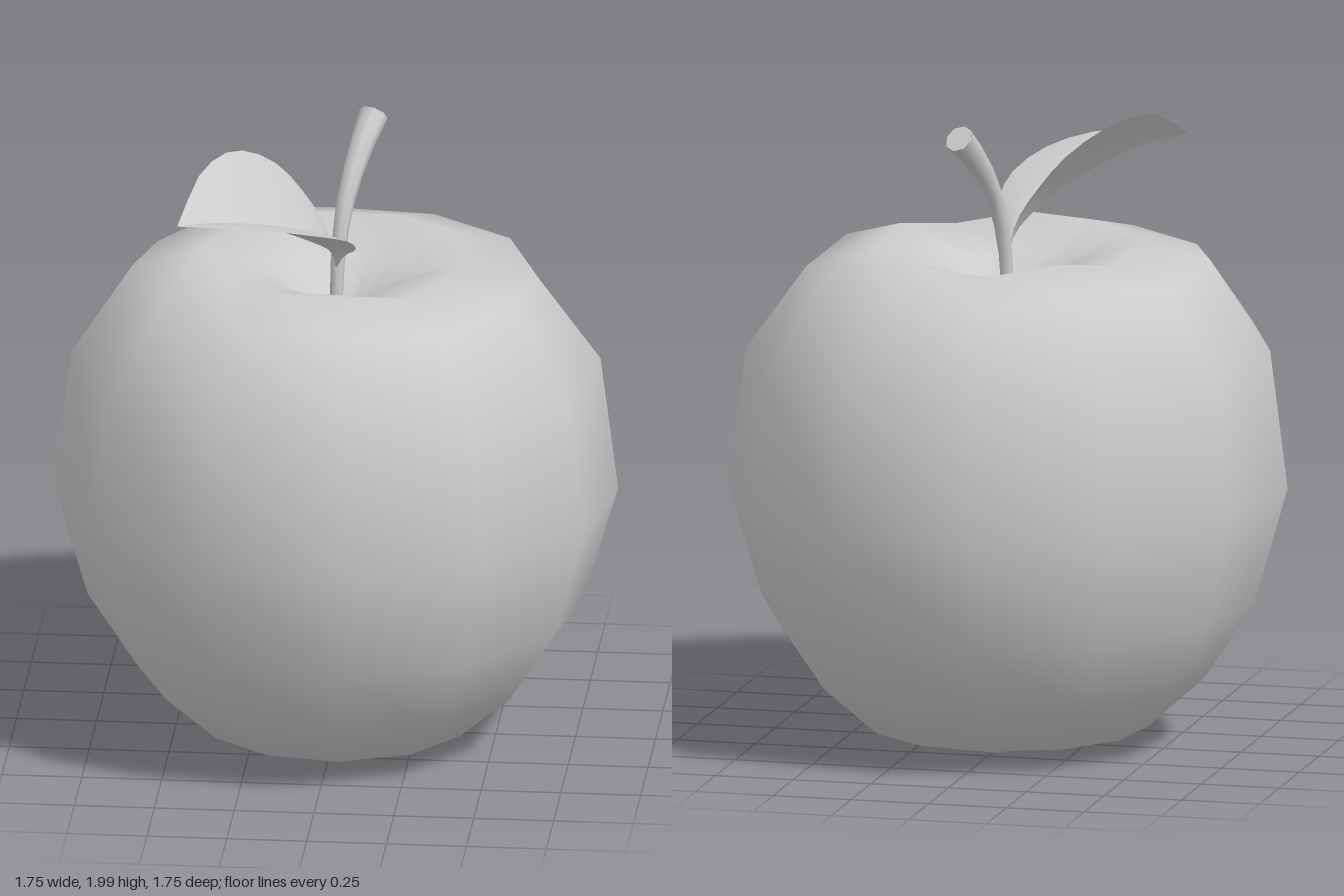
import * as THREE from 'three';
import { mergeVertices } from 'three/addons/utils/BufferGeometryUtils.js';

const grey = new THREE.MeshStandardMaterial({ color: 0xcccccc });
const greyDouble = new THREE.MeshStandardMaterial({ color: 0xcccccc, side: THREE.DoubleSide });

function mesh(name, geometry, material = grey) {
  const m = new THREE.Mesh(geometry, material);
  m.name = name;
  return m;
}

const curve = (pts) => new THREE.CatmullRomCurve3(pts.map((p) => new THREE.Vector3(...p)));

// Smooth normals across seams
function smooth(geometry) {
  geometry.deleteAttribute('uv');
  geometry.deleteAttribute('normal');
  const g = mergeVertices(geometry, 1e-4);
  g.computeVertexNormals();
  return g;
}

// Twelve-sided fruit, slightly tilted, with five soft lobes at crown and base
function fruitGeometry() {
  const profile = [
    [0, 0.1], [0.09, 0.06], [0.22, 0.02], [0.44, 0.065], [0.62, 0.225], [0.775, 0.46],
    [0.88, 0.82], [0.825, 1.255], [0.635, 1.53], [0.42, 1.59], [0.2, 1.52], [0.07, 1.41], [0, 1.36],
  ].map(([r, y]) => new THREE.Vector2(r, y));
  const g = new THREE.LatheGeometry(profile, 12, THREE.MathUtils.degToRad(6.5));
  const p = g.attributes.position;
  for (let i = 0; i < p.count; i++) {
    const x = p.getX(i), y = p.getY(i), z = p.getZ(i);
    const r = Math.hypot(x, z);
    const lobe = Math.cos(5 * Math.atan2(x, z) + 0.4);
    const crown = y > 1.5 ? 0.018 * lobe * Math.min(1, r / 0.3) : 0;
    const base = y < 0.05 && r > 0.15 ? 0.01 * lobe : 0;
    p.setY(i, y + crown + base + 0.02 * (z - x) * Math.min(1, y));
  }
  return smooth(g);
}

// Curved stem that widens towards its cut tip
function stemGroup() {
  const path = curve([[0, 1.36, 0], [0.005, 1.57, -0.015], [0.025, 1.75, -0.065], [0.06, 1.88, -0.15], [0.095, 1.97, -0.245]]);
  const rings = 7, sides = 8;
  const g = new THREE.TubeGeometry(path, rings, 1, sides);
  const p = g.attributes.position, v = new THREE.Vector3();
  for (let i = 0; i < p.count; i++) {
    const t = Math.floor(i / (sides + 1)) / rings;
    const c = path.getPointAt(t);
    v.fromBufferAttribute(p, i).sub(c).multiplyScalar(0.02 + 0.026 * t * t).add(c);
    p.setXYZ(i, v.x, v.y, v.z);
  }
  const cap = mesh('stemTip', new THREE.CircleGeometry(0.046, sides));
  cap.position.copy(path.getPointAt(1));
  cap.lookAt(cap.position.clone().add(path.getTangentAt(1)));
  const group = new THREE.Group();
  group.name = 'stem';
  group.add(mesh('stemShaft', smooth(g)), cap);
  return group;
}

// Smooth sheet spanning two curves
function sheet(a, b, along = 14, across = 3) {
  const pos = [], index = [];
  for (let i = 0; i <= along; i++) {
    const t = i / along, pa = a.getPoint(t), pb = b.getPoint(t);
    for (let j = 0; j <= across; j++) {
      const s = j / across, q = pa.clone().lerp(pb, s);
      pos.push(q.x, q.y + 0.06 * s * (1 - s) * Math.sin(Math.PI * t), q.z);
      if (i < along && j < across) {
        const k = i * (across + 1) + j, n = k + across + 1;
        index.push(k, n, k + 1, k + 1, n, n + 1);
      }
    }
  }
  const g = new THREE.BufferGeometry();
  g.setAttribute('position', new THREE.Float32BufferAttribute(pos, 3));
  g.setIndex(index);
  g.computeVertexNormals();
  return g;
}

// Two leaf halves folded along the midrib
function leafGroup() {
  const base = [0, 1.54, 0], tip = [-0.45, 1.86, 0.515];
  const midrib = curve([base, [-0.01, 1.61, 0.04], [-0.06, 1.68, 0.14], [-0.15, 1.75, 0.24],
    [-0.25, 1.81, 0.345], [-0.35, 1.845, 0.435], tip]);
  const backEdge = curve([base, [-0.03, 1.66, -0.025], [-0.1, 1.77, -0.045], [-0.19, 1.88, -0.02],
    [-0.3, 1.96, 0.09], [-0.39, 1.965, 0.29], tip]);
  const frontEdge = curve([base, [0.03, 1.61, 0.07], [0.08, 1.68, 0.19], [0.065, 1.755, 0.32],
    [-0.03, 1.82, 0.455], [-0.2, 1.86, 0.525], tip]);
  const group = new THREE.Group();
  group.name = 'leaf';
  group.add(
    mesh('leafBackHalf', sheet(backEdge, midrib), greyDouble),
    mesh('leafFrontHalf', sheet(midrib, frontEdge), greyDouble),
  );
  return group;
}

export function createModel() {
  const model = new THREE.Group();
  model.name = 'apple';
  model.add(mesh('fruit', fruitGeometry()), stemGroup(), leafGroup());
  return model;
}
